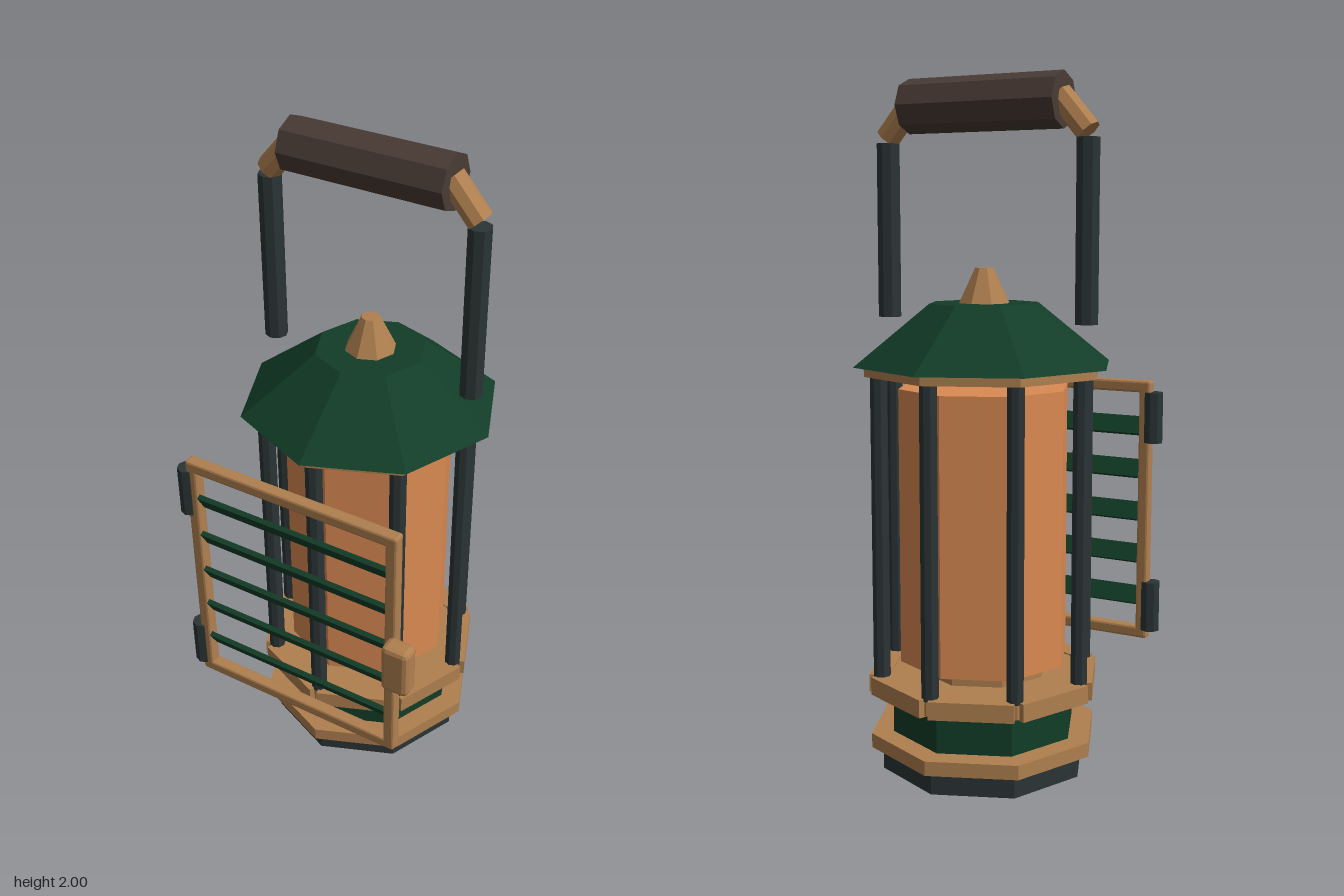
import * as THREE from 'three';
import { RoundedBoxGeometry } from 'three/addons/geometries/RoundedBoxGeometry.js';

const CX = -0.022, CZ = -0.072; // axis of the lantern body

export function createModel() {
  const root = new THREE.Group();
  root.name = 'lantern';
  const mat = (name, color) => {
    const m = new THREE.MeshStandardMaterial({ color, flatShading: true });
    m.name = name;
    return m;
  };
  const green = mat('dark green', 0x123d28);
  const brass = mat('brass', 0xb08050);
  const iron = mat('dark iron', 0x2b3435);
  const wood = mat('dark wood', 0x493b35);
  const amber = mat('amber glass', 0xdb8a52);

  const add = (name, geo, m, x, y, z, parent = root) => {
    const mesh = new THREE.Mesh(geo, m);
    mesh.name = name;
    mesh.position.set(x, y, z);
    parent.add(mesh);
    return mesh;
  };
  // Octagonal drum on the body axis, from y0 to y1
  const drum = (name, m, rBottom, rTop, y0, y1) =>
    add(name, new THREE.CylinderGeometry(rTop, rBottom, y1 - y0, 8), m, CX, (y0 + y1) / 2, CZ);
  // Octagonal rod between two points
  const rod = (name, m, r, a, b) => {
    const A = new THREE.Vector3(...a), B = new THREE.Vector3(...b);
    const dir = B.clone().sub(A);
    const mesh = add(name, new THREE.CylinderGeometry(r, r, dir.length(), 8), m, 0, 0, 0);
    mesh.position.copy(A).add(B).multiplyScalar(0.5);
    mesh.quaternion.setFromUnitVectors(new THREE.Vector3(0, 1, 0), dir.normalize());
    return mesh;
  };

  // Stacked body
  drum('foot', iron, 0.309, 0.309, 0, 0.068);
  drum('lowerTrim', brass, 0.343, 0.343, 0.068, 0.11);
  drum('bodyBand', green, 0.277, 0.277, 0.11, 0.24);
  drum('sill', brass, 0.332, 0.332, 0.238, 0.282);
  drum('lampSeat', brass, 0.19, 0.19, 0.28, 0.325);
  drum('glass', amber, 0.254, 0.254, 0.322, 1.125);
  drum('upperTrim', brass, 0.352, 0.352, 1.163, 1.192);
  drum('roof', green, 0.383, 0.162, 1.19, 1.365);
  drum('finial', brass, 0.075, 0.027, 1.365, 1.465);

  // Cage posts at the corners and sill bars along the sides
  for (let i = 0; i < 8; i++) {
    const a = (i * Math.PI) / 4, b = a + Math.PI / 8;
    add('post', new THREE.CylinderGeometry(0.025, 0.025, 0.885, 8), iron,
      CX + 0.31 * Math.sin(a), 0.7225, CZ + 0.31 * Math.cos(a));
    const bar = add('sillBar', new THREE.BoxGeometry(0.24, 0.052, 0.06), brass,
      CX + 0.295 * Math.sin(b), 0.26, CZ + 0.295 * Math.cos(b));
    bar.rotation.y = b;
  }

  // Carrying handle
  for (const s of [-1, 1]) {
    const x = CX + s * 0.322;
    rod('handleArm', iron, 0.034, [x, 1.315, CZ], [x, 1.82, CZ]);
    rod('handleElbow', brass, 0.037, [x, 1.835, CZ], [CX + s * 0.235, 1.935, CZ]);
  }
  rod('grip', wood, 0.078, [CX - 0.248, 1.922, CZ], [CX + 0.248, 1.922, CZ]);

  // Louvred door standing in front
  const door = new THREE.Group();
  door.name = 'door';
  door.position.z = 0.355;
  root.add(door);
  const bar = (name, w, h, x, y) =>
    add(name, new RoundedBoxGeometry(w, h, 0.038, 1, 0.007), brass, x, y, 0, door);
  for (const x of [-0.351, 0.304]) bar('doorStile', 0.036, 0.81, x, 0.71);
  for (const y of [1.097, 0.323]) bar('doorRail', 0.69, 0.036, -0.023, y);
  for (let i = 0; i < 5; i++) {
    const slat = add('slat', new THREE.BoxGeometry(0.62, 0.058, 0.015), green,
      -0.023, 0.974 - i * 0.134, 0, door);
    slat.rotation.x = Math.PI / 6;
  }
  for (const y of [1.003, 0.41])
    add('hinge', new THREE.CylinderGeometry(0.03, 0.03, 0.155, 8), iron, -0.375, y, 0, door);
  add('latch', new RoundedBoxGeometry(0.085, 0.16, 0.06, 1, 0.015), brass, 0.36, 0.715, 0.066, door);

  return root;
}
